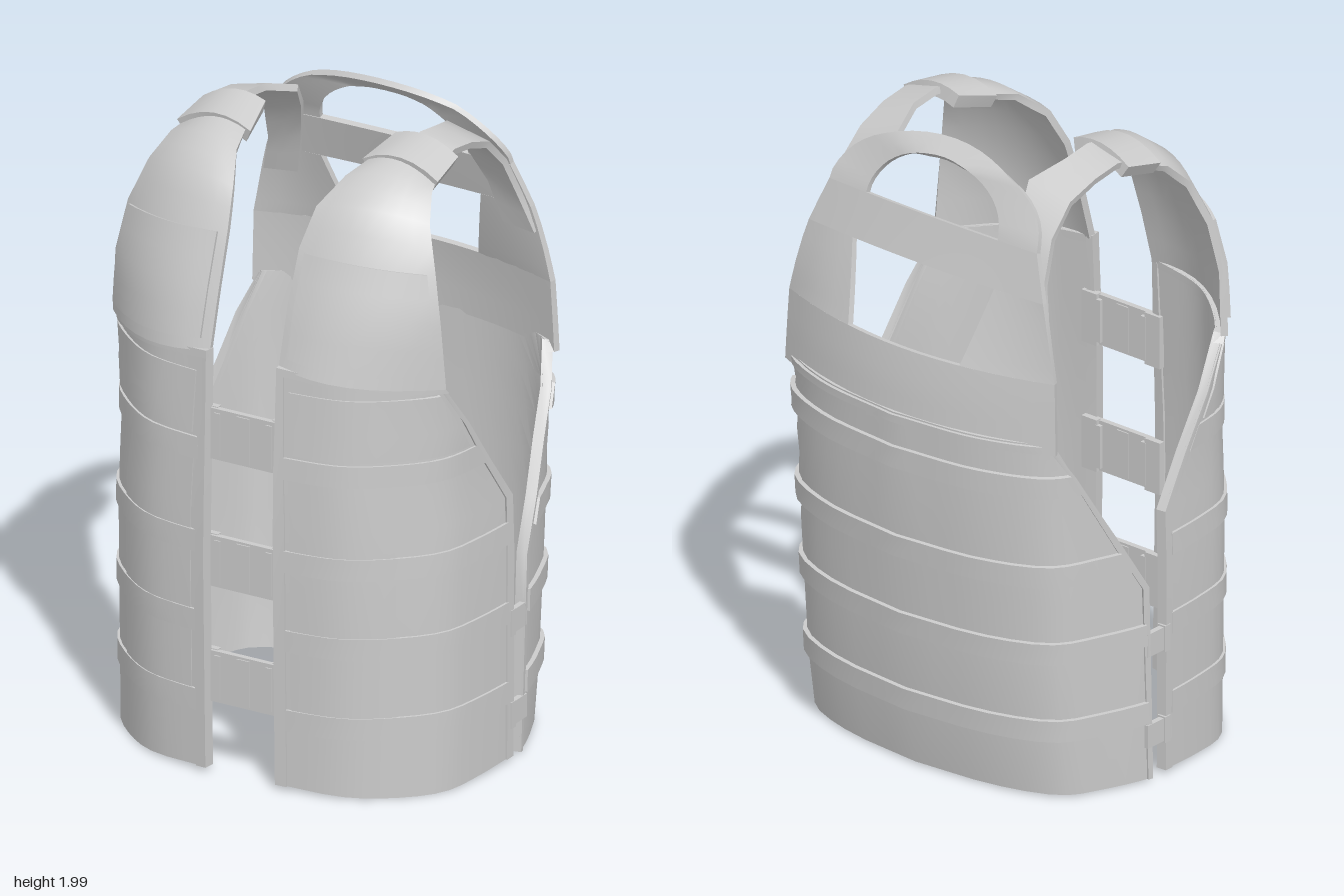
import * as THREE from 'three';
import { toCreasedNormals } from 'three/addons/utils/BufferGeometryUtils.js';

const V = (x, y, z) => new THREE.Vector3(x, y, z);
const range = (a, b, n) => Array.from({ length: n + 1 }, (_, i) => a + (b - a) * i / n);

// Piecewise linear lookup: rows of [key, value, value...]
function at(table, k) {
  let i = 0;
  while (i < table.length - 2 && k > table[i + 1][0]) i++;
  const [a, b] = [table[i], table[i + 1]];
  const t = THREE.MathUtils.clamp((k - a[0]) / (b[0] - a[0]), 0, 1);
  return a.slice(1).map((v, j) => v + (b[j + 1] - v) * t);
}

// Thick sheet over the surface f(u, v); side = -1 mirrors it in x
function sheet(f, us, vs, thick, lift = 0, side = 1) {
  const p = us.map(u => vs.map(v => f(u, v)));
  const nu = us.length - 1, nv = vs.length - 1;
  const outer = [], inner = [];
  for (let i = 0; i <= nu; i++) {
    outer.push([]); inner.push([]);
    for (let j = 0; j <= nv; j++) {
      const du = p[Math.min(i + 1, nu)][j].clone().sub(p[Math.max(i - 1, 0)][j]);
      const dv = p[i][Math.min(j + 1, nv)].clone().sub(p[i][Math.max(j - 1, 0)]);
      const n = du.cross(dv).normalize();
      outer[i].push(p[i][j].clone().addScaledVector(n, lift));
      inner[i].push(p[i][j].clone().addScaledVector(n, lift - thick));
    }
  }
  const pos = [];
  const quad = (a, b, c, d) => {
    const order = side > 0 ? [a, b, c, a, c, d] : [a, c, b, a, d, c];
    for (const q of order) pos.push(q.x * side, q.y, q.z);
  };
  for (let i = 0; i < nu; i++) for (let j = 0; j < nv; j++) {
    quad(outer[i][j], outer[i + 1][j], outer[i + 1][j + 1], outer[i][j + 1]);
    quad(inner[i][j], inner[i][j + 1], inner[i + 1][j + 1], inner[i + 1][j]);
  }
  for (let i = 0; i < nu; i++) {
    quad(inner[i][0], inner[i + 1][0], outer[i + 1][0], outer[i][0]);
    quad(outer[i][nv], outer[i + 1][nv], inner[i + 1][nv], inner[i][nv]);
  }
  for (let j = 0; j < nv; j++) {
    quad(outer[0][j], outer[0][j + 1], inner[0][j + 1], inner[0][j]);
    quad(inner[nu][j], inner[nu][j + 1], outer[nu][j + 1], outer[nu][j]);
  }
  const g = new THREE.BufferGeometry();
  g.setAttribute('position', new THREE.Float32BufferAttribute(pos, 3));
  return toCreasedNormals(g, 0.6);
}

// Torso surface: a horizontal section scaled by height and cut at a side edge z
function torso(section, scale, edge) {
  const curve = new THREE.CatmullRomCurve3(section.map(([x, z]) => V(x, 0, z)));
  return (a, y) => {
    const [sx, sz] = at(scale, y), [ze] = at(edge, y);
    const sign = Math.sign(section[0][1]);
    let lo = 0, hi = 1;
    for (let i = 0; i < 24; i++) {
      const m = (lo + hi) / 2;
      if (sign * (curve.getPoint(m).z * sz - ze) > 0) lo = m; else hi = m;
    }
    const q = curve.getPoint(Math.abs(a) * lo);
    return V(q.x * sx * (a < 0 ? -1 : 1) * sign, y, q.z * sz);
  };
}

const frontBase = torso(
  [[0.12, 0.545], [0.33, 0.51], [0.46, 0.425], [0.565, 0.305], [0.598, 0.16], [0.615, -0.03]],
  [[0, 1, 0.985], [0.75, 1.005, 1.01], [1.05, 0.985, 1], [1.38, 1.02, 0.97]],
  [[0, -0.01], [0.87, -0.01], [1.33, 0.31]]);
// The top edge rises towards the centre opening, the hem dips mid-panel
const front = (a, y) => {
  const q = frontBase(a, y);
  if (y > 1.3) q.y += 0.045 * (1 - a);
  if (y < 0.1) q.y += 0.015 * (1 - Math.sin(Math.PI * a));
  return q;
};
const back = torso(
  [[0, -0.545], [0.3, -0.505], [0.495, -0.41], [0.56, -0.27], [0.61, -0.1], [0.625, 0.02]],
  [[0, 0.99, 0.8], [0.2, 0.995, 0.87], [0.65, 1.005, 0.94], [0.95, 1.01, 0.98], [1.2, 1.03, 0.995]],
  [[0, -0.06], [0.65, -0.085], [1.2, -0.41]]);

// Upper back surface as z over (x, y)
const yokeDepth = [[1.18, -0.535, 0.42], [1.38, -0.517, 0.39], [1.5, -0.467, 0.25],
  [1.65, -0.405, 0.08], [1.8, -0.36, 0.05], [1.95, -0.312, 0.3], [2, -0.25, 0.1]];
const yokePoint = (x, y) => { const [z, k] = at(yokeDepth, y); return V(x, y, z + k * x * x); };
const yokeHalf = y => at([[1.18, 0.535], [1.4, 0.525], [1.55, 0.49], [1.65, 0.46], [1.78, 0.41]], y)[0];

// Shoulder rows: inner x,y,z, outer x,y,z, bulge y,z
const padRows = [
  [0, 0.12, 1.37, 0.52, 0.582, 1.325, 0.317, 0, 0.085],
  [1, 0.12, 1.55, 0.47, 0.568, 1.53, 0.325, 0, 0.07],
  [2, 0.125, 1.72, 0.41, 0.537, 1.69, 0.305, 0.01, 0.05],
  [3, 0.145, 1.835, 0.345, 0.49, 1.82, 0.26, 0.03, 0.03],
  [4, 0.19, 1.91, 0.25, 0.455, 1.89, 0.19, 0.03, 0.01],
  [5, 0.225, 1.945, 0.12, 0.43, 1.915, 0.11, 0.035, 0]];
const wrapRows = [
  [0, 0.2, 1.925, 0.16, 0.45, 1.905, 0.155, 0.04, 0],
  [1, 0.23, 1.965, 0.02, 0.44, 1.935, 0.02, 0.03, 0]];
const strapRows = [
  [0, 0.3, 1.97, 0.1, 0.42, 1.94, 0.1, 0, 0],
  [1, 0.3, 1.985, 0, 0.42, 1.955, 0, 0, 0],
  [2, 0.3, 1.97, -0.1, 0.42, 1.94, -0.1, 0, 0],
  [3, 0.26, 1.93, -0.22, 0.415, 1.9, -0.21, 0, 0],
  [4, 0.29, 1.84, -0.3, 0.42, 1.81, -0.3, 0, 0],
  [5, 0.33, 1.71, -0.365, 0.44, 1.68, -0.36, 0, 0],
  [6, 0.36, 1.57, -0.4, 0.475, 1.56, -0.392, 0, 0]];
const ribbon = rows => (u, v) => {
  const r = at(rows, v), b = 4 * u * (1 - u), m = i => r[i] + (r[i + 3] - r[i]) * u;
  return V(m(0), m(1) + r[6] * b, m(2) + r[7] * b);
};

export function createModel() {
  const vest = new THREE.Group();
  vest.name = 'vest';
  const material = new THREE.MeshStandardMaterial({ color: 0xcccccc });
  const add = (name, geometry) => {
    const mesh = new THREE.Mesh(geometry, material);
    mesh.name = name;
    vest.add(mesh);
    return mesh;
  };
  const box = (name, w, h, d, x, y, z) => add(name, new THREE.BoxGeometry(w, h, d)).position.set(x, y, z);
  const frontYs = [0.004, 0.2, 0.45, 0.7, 0.87, 1.02, 1.18, 1.33];
  const bandYs = [0.2, 0.46, 0.72, 1.02];
  const pad = ribbon(padRows);

  for (const side of [1, -1]) {
    const s = side > 0 ? 'left' : 'right';
    // Front half with edge binding, webbing and pockets
    add(s + 'FrontPanel', sheet(front, range(0, 1, 14), frontYs, 0.022, 0, side));
    add(s + 'OpeningBinding', sheet(front, [0, 0.02, 0.035], frontYs, 0.036, 0.008, side));
    add(s + 'SideBinding', sheet(front, [0.965, 0.98, 1], frontYs, 0.034, 0.006, side));
    add(s + 'TopBinding', sheet(front, range(0, 1, 14), [1.305, 1.33], 0.034, 0.008, side));
    add(s + 'FrontPocket', sheet(front, range(0.05, 0.42, 8), [0.27, 0.45, 0.7, 0.87, 1.05], 0.01, 0.004, side));
    add(s + 'ChestPatch', sheet(front, range(0.06, 0.93, 10), [1.1, 1.18, 1.3], 0.012, 0.006, side));
    for (const y of bandYs)
      add(s + 'FrontWebbing', sheet(front, range(0.03, 0.97, 14), [y, y + 0.07], 0.012, 0.008, side));

    // Shoulder pad, its pocket, the strap over the shoulder and its wrap
    add(s + 'ShoulderPad', sheet(pad, range(0, 1, 8), range(0, 5, 10), 0.022, 0, side));
    add(s + 'ShoulderPocket', sheet(pad, range(0.07, 0.95, 8), range(0.2, 1.95, 4), 0.02, 0.01, side));
    add(s + 'ShoulderStrap', sheet(ribbon(strapRows), range(0, 1, 2), range(0, 6, 12), 0.022, 0, side));
    add(s + 'StrapWrap', sheet(ribbon(wrapRows), range(0, 1, 6), [0, 0.5, 1], 0.045, 0.01, side));

    // Side connectors between front and back
    for (const y of [0.155, 0.455]) {
      box(s + 'SideConnector', 0.018, 0.075, 0.11, side * 0.609, y, -0.035);
      box(s + 'SideClip', 0.03, 0.085, 0.025, side * 0.608, y, -0.005);
    }

    // Sides of the upper back beside the large cutout
    add(s + 'UpperBackSide', sheet((u, y) => {
      const hole = 0.22 + 0.06 * (y - 1.4) / 0.24;
      return yokePoint(hole + (yokeHalf(y) - hole) * u, y);
    }, range(1, 0, 4), [1.4, 1.44, 1.5, 1.58, 1.64], 0.02, 0, side));
  }

  // Back panel with binding and webbing
  const backYs = [0.01, 0.2, 0.45, 0.65, 0.8, 0.95, 1.08, 1.2];
  add('backPanel', sheet(back, range(-1, 1, 24), backYs, 0.022));
  add('backTopBinding', sheet(back, range(-1, 1, 24), [1.17, 1.195], 0.028, 0.01));
  for (const k of [-1, 1])
    add('backSideBinding', sheet(back, k < 0 ? [-1, -0.98, -0.96] : [0.96, 0.98, 1], backYs, 0.034, 0.006));
  for (const y of bandYs)
    add('backWebbing', sheet(back, range(-0.97, 0.97, 24), [y, y + 0.07], 0.018, 0.014));

  // Upper back: lower band, crossbar and rounded carry arch
  const across = (u, y) => yokePoint(-u * yokeHalf(y), y);
  add('upperBackBand', sheet(across, range(-1, 1, 16), [1.17, 1.25, 1.32, 1.4], 0.02));
  add('upperBackBar', sheet(across, range(-1, 1, 16), [1.64, 1.71, 1.78], 0.02));
  add('carryArch', sheet((t, v) => yokePoint(
    -(0.26 + 0.15 * v) * Math.cos(t), 1.78 + (0.175 + 0.043 * v) * Math.sin(t)),
  range(Math.PI, 0, 24), [0, 0.5, 1], 0.018));

  // Buckle bridges across the front opening
  for (const y of [0.315, 0.69, 1.105]) {
    box('buckleBridge', 0.23, 0.165, 0.018, 0, y, 0.517);
    box('buckleTongue', 0.045, 0.15, 0.026, 0, y, 0.517);
    for (const side of [1, -1]) {
      box('buckleClip', 0.02, 0.14, 0.035, side * 0.09, y, 0.513);
      box('buckleAnchor', 0.06, 0.17, 0.02, side * 0.125, y, 0.507);
    }
  }
  return vest;
}
